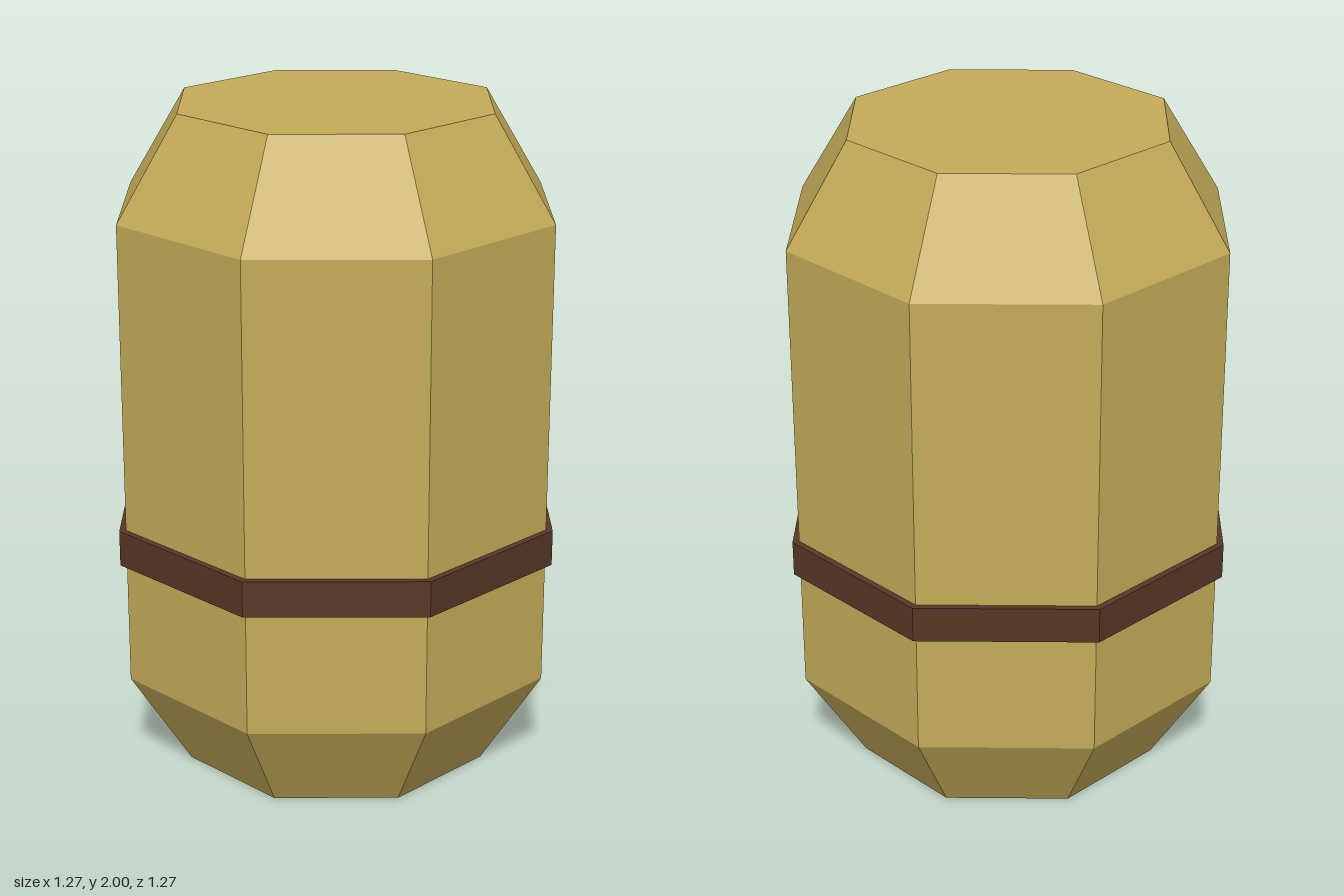
import * as THREE from 'three';

const SIDES = 8;
const CORNER = 1 / Math.cos(Math.PI / SIDES); // flat-to-centre distance -> corner radius

// Eight-sided solid turned from [flat distance, y] points, listed bottom to top
function octagonal(name, profile, material) {
  const points = profile.map(([r, y]) => new THREE.Vector2(r * CORNER, y));
  const geometry = new THREE.LatheGeometry(points, SIDES, Math.PI / SIDES);
  const mesh = new THREE.Mesh(geometry, material);
  mesh.name = name;
  return mesh;
}

export function createModel() {
  const straw = new THREE.MeshStandardMaterial({ color: 0xc4ab58, flatShading: true });
  straw.name = 'straw';
  const leather = new THREE.MeshStandardMaterial({ color: 0x573727, flatShading: true });
  leather.name = 'dark brown';

  const model = new THREE.Group();
  model.name = 'strappedBale';

  // Body with tapered ends and flat caps
  model.add(octagonal('body', [
    [0, 0], [0.443, 0], [0.615, 0.3], [0.615, 1.7], [0.443, 2], [0, 2],
  ], straw));

  // Strap around the lower half
  model.add(octagonal('strap', [
    [0.61, 0.672], [0.634, 0.672], [0.634, 0.78], [0.61, 0.78],
  ], leather));

  return model;
}
